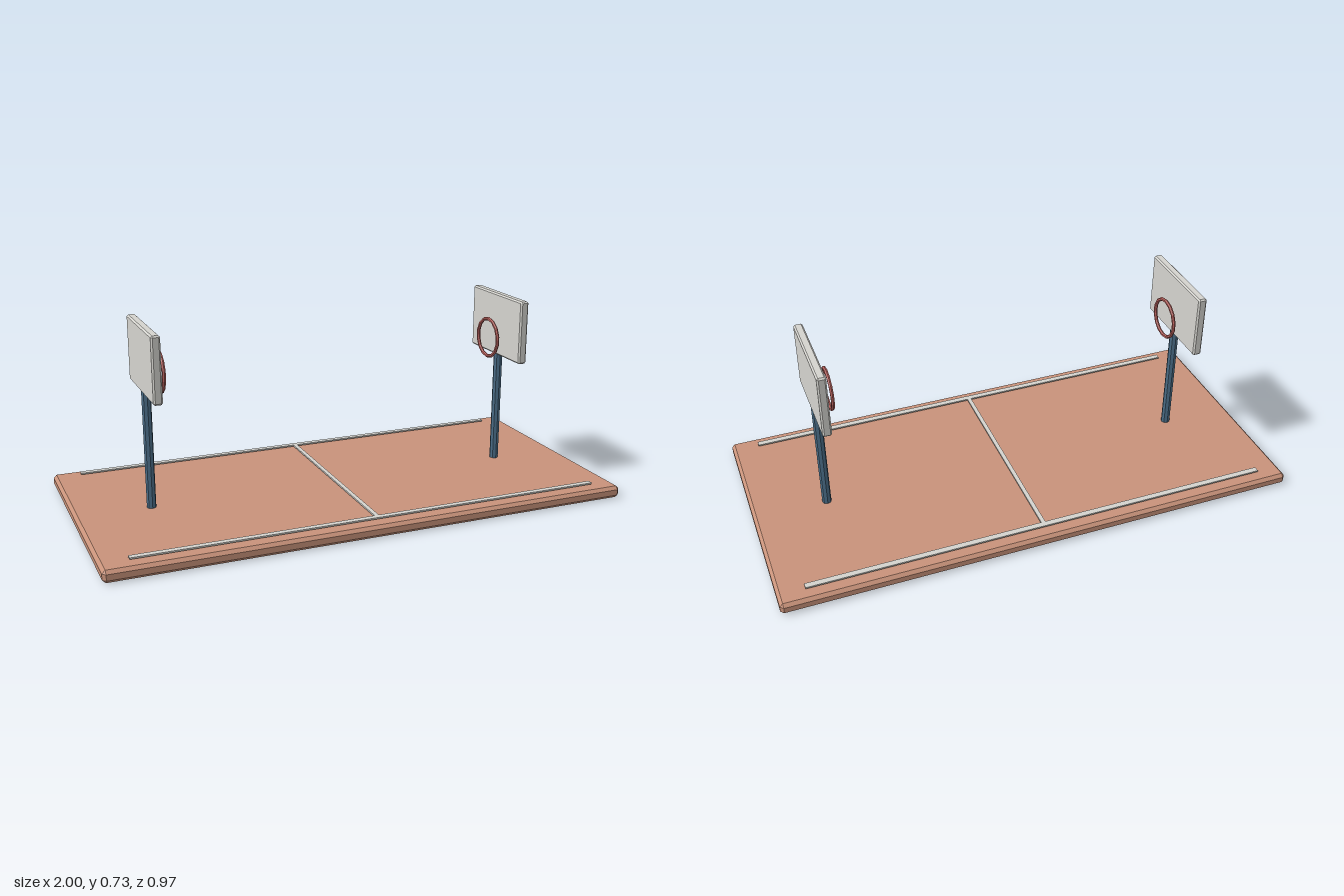
import * as THREE from 'three';
import { ConvexGeometry } from 'three/addons/geometries/ConvexGeometry.js';

const mat = (color) => new THREE.MeshStandardMaterial({ color, flatShading: true });
const clay = mat(0xc8927a), chalk = mat(0xd4d3ce), steel = mat(0x4a6c86), red = mat(0xb5605c);

// Box with every edge cut by a flat bevel c
function chamferBox(w, h, d, c) {
  const points = [];
  for (const sx of [-1, 1]) for (const sy of [-1, 1]) for (const sz of [-1, 1]) {
    for (let axis = 0; axis < 3; axis++) {
      const half = [w / 2, h / 2, d / 2].map((v, i) => (i === axis ? v : v - c));
      points.push(new THREE.Vector3(sx * half[0], sy * half[1], sz * half[2]));
    }
  }
  return new ConvexGeometry(points);
}

function add(parent, name, geometry, material, x, y, z) {
  const mesh = new THREE.Mesh(geometry, material);
  mesh.name = name;
  mesh.position.set(x, y, z);
  parent.add(mesh);
  return mesh;
}

export function createModel() {
  const court = new THREE.Group();
  court.name = 'basketballCourt';

  // Floor slab
  add(court, 'floor', chamferBox(2, 0.046, 0.966, 0.012), clay, 0, 0.023, 0);

  // Raised court markings
  for (const [side, s] of [['left', 1], ['right', -1]]) {
    add(court, side + 'Sideline', new THREE.BoxGeometry(1.8, 0.006, 0.022), chalk, 0, 0.056, s * 0.426);
  }
  add(court, 'centreLine', new THREE.BoxGeometry(0.016, 0.006, 0.836), chalk, 0, 0.056, 0);

  // Mirrored hoop stands at both ends
  for (const [side, s] of [['left', 1], ['right', -1]]) {
    const stand = new THREE.Group();
    stand.name = side + 'HoopStand';
    court.add(stand);
    const post = new THREE.CylinderGeometry(0.0175, 0.0175, 0.46, 8);
    add(stand, 'post', post, steel, s * 0.72, 0.27, 0);
    add(stand, 'backboard', chamferBox(0.034, 0.246, 0.37, 0.006), chalk, s * 0.72, 0.61, 0);
    const ring = new THREE.TorusGeometry(0.076, 0.007, 6, 14).rotateZ(Math.PI / 2).rotateY(Math.PI / 2);
    add(stand, 'rim', ring, red, s * 0.67, 0.558, 0);
  }
  return court;
}
